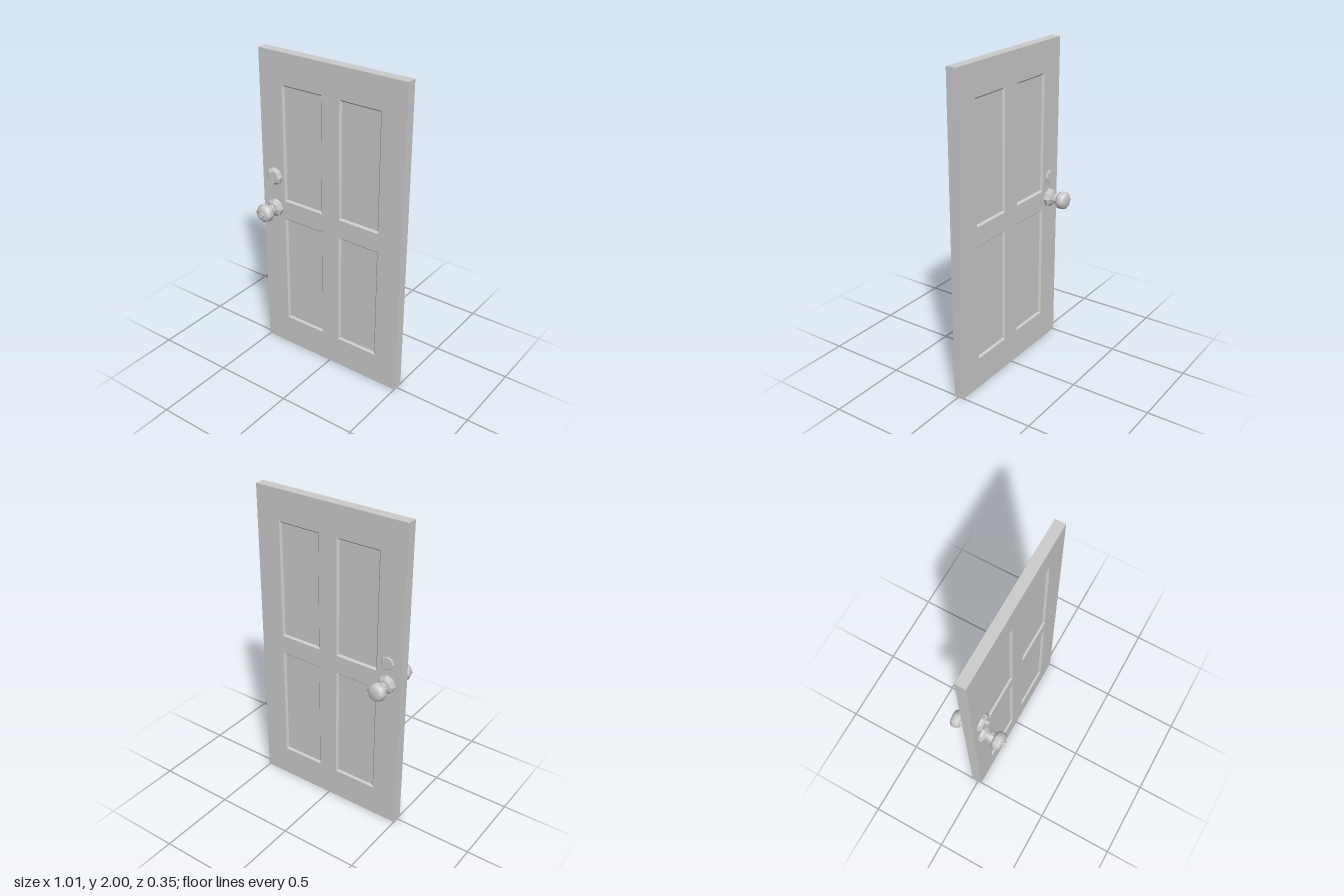
import * as THREE from 'three';
import { toCreasedNormals } from 'three/addons/utils/BufferGeometryUtils.js';

const HALF_W = 0.505, HEIGHT = 2, HALF_T = 0.032;
const HANDLE_X = -0.412, KNOB_Y = 1.0;
const COLUMNS = [[-0.339, -0.055], [0.069, 0.347]];
const ROWS = [[0.2, 0.94], [1.06, 1.808]];

const material = new THREE.MeshStandardMaterial({ color: 0xcccccc });
const flat = new THREE.MeshStandardMaterial({ color: 0xcccccc, flatShading: true });

function add(parent, name, geometry, mat = material) {
  const mesh = new THREE.Mesh(geometry, mat);
  mesh.name = name;
  parent.add(mesh);
  return mesh;
}

// Counter-clockwise rectangle at depth z
const rect = (x0, y0, x1, y1, z) =>
  [[x0, y0, z], [x1, y0, z], [x1, y1, z], [x0, y1, z]].map(p => new THREE.Vector3(...p));

// Joins rectangles with flat quads, optionally closing the last one
function loft(loops, cap) {
  const points = [];
  const quad = (a, b, c, d) => points.push(a, b, c, a, c, d);
  for (let k = 0; k + 1 < loops.length; k++) {
    for (let i = 0; i < 4; i++) {
      const j = (i + 1) % 4;
      quad(loops[k][i], loops[k][j], loops[k + 1][j], loops[k + 1][i]);
    }
  }
  if (cap) quad(...loops[loops.length - 1]);
  const geometry = new THREE.BufferGeometry().setFromPoints(points);
  geometry.computeVertexNormals();
  return geometry;
}

// Eight-sided turned part, its axis pointing out of the door along z
function turned(profile) {
  const points = profile.map(([r, h]) => new THREE.Vector2(r, h));
  return new THREE.LatheGeometry(points, 8).rotateX(Math.PI / 2);
}

// One face of the door; side -1 mirrors the panel layout for the back
function doorFace(side) {
  const face = new THREE.Group();
  const shape = new THREE.Shape([
    new THREE.Vector2(-HALF_W, 0), new THREE.Vector2(HALF_W, 0),
    new THREE.Vector2(HALF_W, HEIGHT), new THREE.Vector2(-HALF_W, HEIGHT)]);
  for (const column of COLUMNS) {
    const [x0, x1] = column.map(x => x * side).sort((a, b) => a - b);
    for (const [y0, y1] of ROWS) {
      shape.holes.push(new THREE.Path([
        new THREE.Vector2(x0, y0), new THREE.Vector2(x0, y1),
        new THREE.Vector2(x1, y1), new THREE.Vector2(x1, y0)]));
      // Sloped moulding leading down to the sunk panel
      const w = 0.011;
      add(face, 'recessedPanel', loft([
        rect(x0, y0, x1, y1, HALF_T),
        rect(x0 + w, y0 + w, x1 - w, y1 - w, HALF_T - 0.012)], true));
    }
  }
  add(face, 'doorFrame', new THREE.ShapeGeometry(shape).translate(0, 0, HALF_T));
  return face;
}

// Rose, neck and rounded knob
function doorKnob() {
  const knob = new THREE.Group();
  add(knob, 'rose', turned([[0.058, 0], [0.058, 0.018], [0.037, 0.031], [0, 0.031]]), flat);
  add(knob, 'neck', turned([
    [0.033, 0.03], [0.033, 0.036], [0.025, 0.036], [0.025, 0.041], [0.03, 0.041],
    [0.03, 0.046], [0.025, 0.046], [0.025, 0.052], [0.034, 0.052], [0.034, 0.076]]), flat);
  add(knob, 'knob', toCreasedNormals(turned([
    [0.032, 0.074], [0.048, 0.078], [0.056, 0.087], [0.058, 0.097], [0.058, 0.112],
    [0.054, 0.124], [0.045, 0.133], [0.03, 0.138], [0, 0.139]]), 0.9));
  return knob;
}

export function createModel() {
  const door = new THREE.Group();
  door.name = 'door';
  door.position.z = -0.006;

  add(door, 'doorEdges', loft([
    rect(-HALF_W, 0, HALF_W, HEIGHT, -HALF_T),
    rect(-HALF_W, 0, HALF_W, HEIGHT, HALF_T)], false));

  for (const side of [1, -1]) {
    const half = new THREE.Group();
    half.name = side > 0 ? 'frontSide' : 'backSide';
    half.rotation.y = side > 0 ? 0 : Math.PI;
    door.add(half);
    half.add(doorFace(side));

    const knob = doorKnob();
    knob.name = side > 0 ? 'frontKnob' : 'backKnob';
    knob.position.set(HANDLE_X * side, KNOB_Y, HALF_T);
    half.add(knob);

    const lock = new THREE.Group();
    half.add(lock);
    if (side > 0) {
      // Push button with a small dimple
      add(knob, 'lockButton', turned([
        [0.016, 0.13], [0.016, 0.15], [0.009, 0.15], [0.007, 0.146], [0, 0.146]]), flat);
      // Deadbolt with thumb turn
      lock.name = 'deadbolt';
      lock.position.set(HANDLE_X, 1.214, HALF_T);
      add(lock, 'deadboltRose', turned([
        [0.057, 0], [0.057, 0.014], [0.042, 0.025], [0, 0.025]]), flat);
      add(lock, 'thumbTurn', new THREE.BoxGeometry(0.02, 0.082, 0.036).translate(0, 0, 0.032));
    } else {
      // Key cylinder
      lock.name = 'keyLock';
      lock.position.set(-HANDLE_X, 1.138, HALF_T);
      add(lock, 'keyPlate', turned([
        [0.043, 0], [0.043, 0.007], [0.038, 0.01], [0, 0.01]]), flat);
      add(lock, 'keySlot', new THREE.BoxGeometry(0.014, 0.042, 0.006).translate(0, 0, 0.01));
    }
  }

  const model = new THREE.Group();
  model.name = 'panelDoor';
  model.add(door);
  return model;
}
